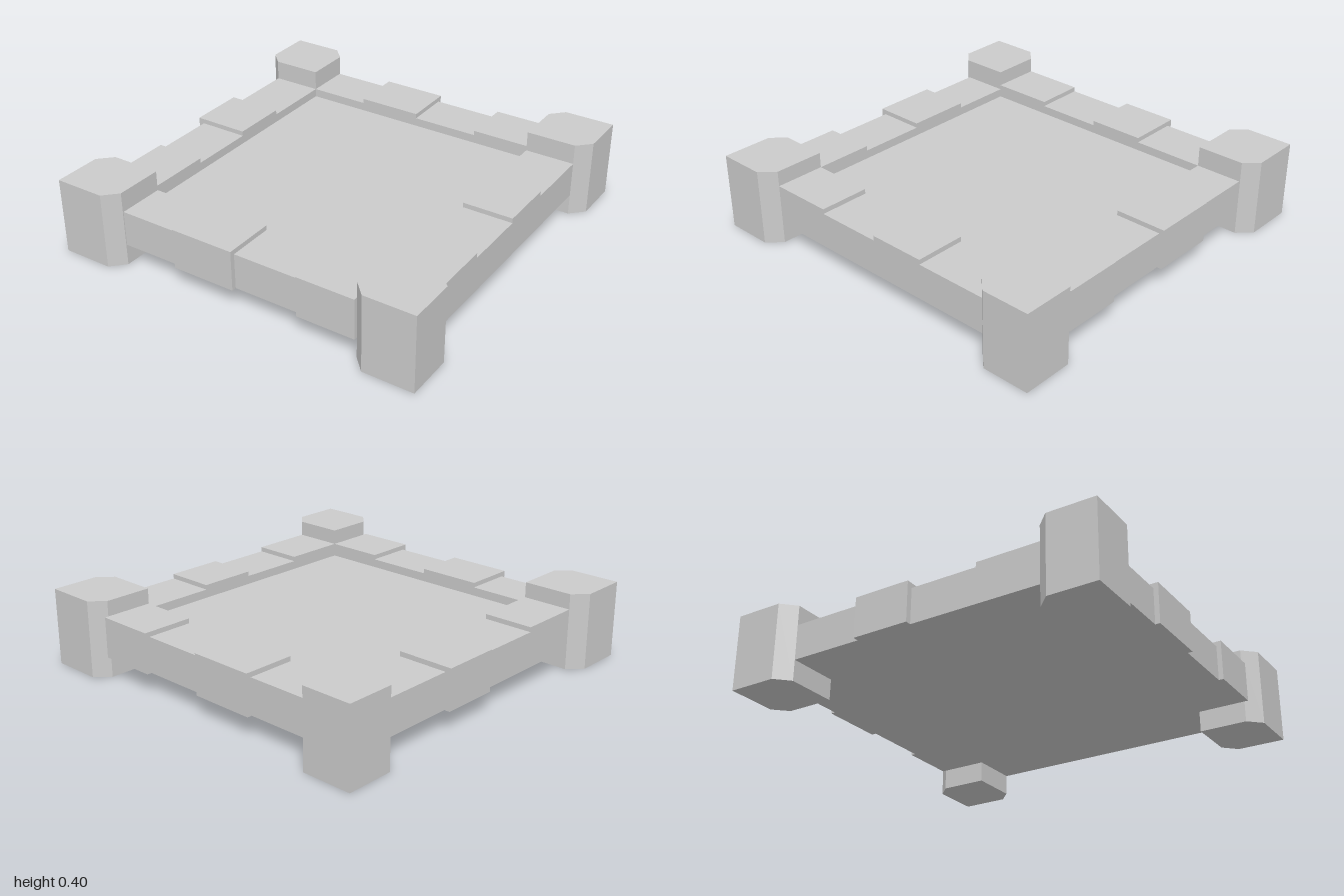
import * as THREE from 'three';

const BASE = 0.11, LOW = 0.295, HIGH = 0.32, POST = 0.4, FLOOR = 0.25;
const IN_X = 0.662, IN_Z = 0.68, EDGE_X = 0.925, EDGE_Z = 0.925;

export function createModel() {
  const model = new THREE.Group();
  const material = new THREE.MeshStandardMaterial({ color: 0xcccccc, flatShading: true });

  const add = (name, geometry) => {
    const mesh = new THREE.Mesh(geometry, material);
    mesh.name = name;
    model.add(mesh);
    return mesh;
  };

  // Box given by its limits on each axis
  const block = (name, x0, x1, y0, y1, z0, z1) =>
    add(name, new THREE.BoxGeometry(x1 - x0, y1 - y0, z1 - z0))
      .position.set((x0 + x1) / 2, (y0 + y1) / 2, (z0 + z1) / 2);

  // Sunken courtyard floor
  block('floor', -IN_X, IN_X, BASE, FLOOR, -IN_Z, IN_Z);

  // Corner posts: square inner corner, chamfers where they meet the walls
  const corner = [[IN_X, IN_Z], [EDGE_X, IN_Z], [0.995, 0.75], [0.995, 1], [0.73, 1], [IN_X, 0.93]];
  for (const sx of [-1, 1]) {
    for (const sz of [-1, 1]) {
      // shape y becomes -z once the extrusion is stood upright
      const shape = new THREE.Shape(corner.map(([x, z]) => new THREE.Vector2(sx * x, -sz * z)));
      const post = new THREE.ExtrudeGeometry(shape, { depth: POST, bevelEnabled: false });
      post.rotateX(-Math.PI / 2);
      add('cornerPost', post);
    }
  }

  // Front and back walls: alternating low and raised, projecting blocks
  const xCuts = [-IN_X, -0.34, 0, 0.355, IN_X];
  for (let i = 0; i < 4; i++) {
    const raised = i % 2 === 1;
    const top = raised ? HIGH : LOW;
    const outer = raised ? 0.95 : EDGE_Z;
    block('frontWallBlock', xCuts[i], xCuts[i + 1], BASE, top, IN_Z, outer);
    block('backWallBlock', xCuts[i], xCuts[i + 1], BASE, top, -outer, -IN_Z);
  }

  // Side walls: flush blocks, with one projecting on the right-hand (-x) side
  const zCuts = [-IN_Z, -0.3, 0, 0.35, IN_Z];
  for (let i = 0; i < 4; i++) {
    const top = i % 2 === 1 ? HIGH : LOW;
    block('leftWallBlock', IN_X, EDGE_X, BASE, top, zCuts[i], zCuts[i + 1]);
    block('rightWallBlock', i === 1 ? -0.955 : -EDGE_X, -IN_X, BASE, top, zCuts[i], zCuts[i + 1]);
  }

  return model;
}
